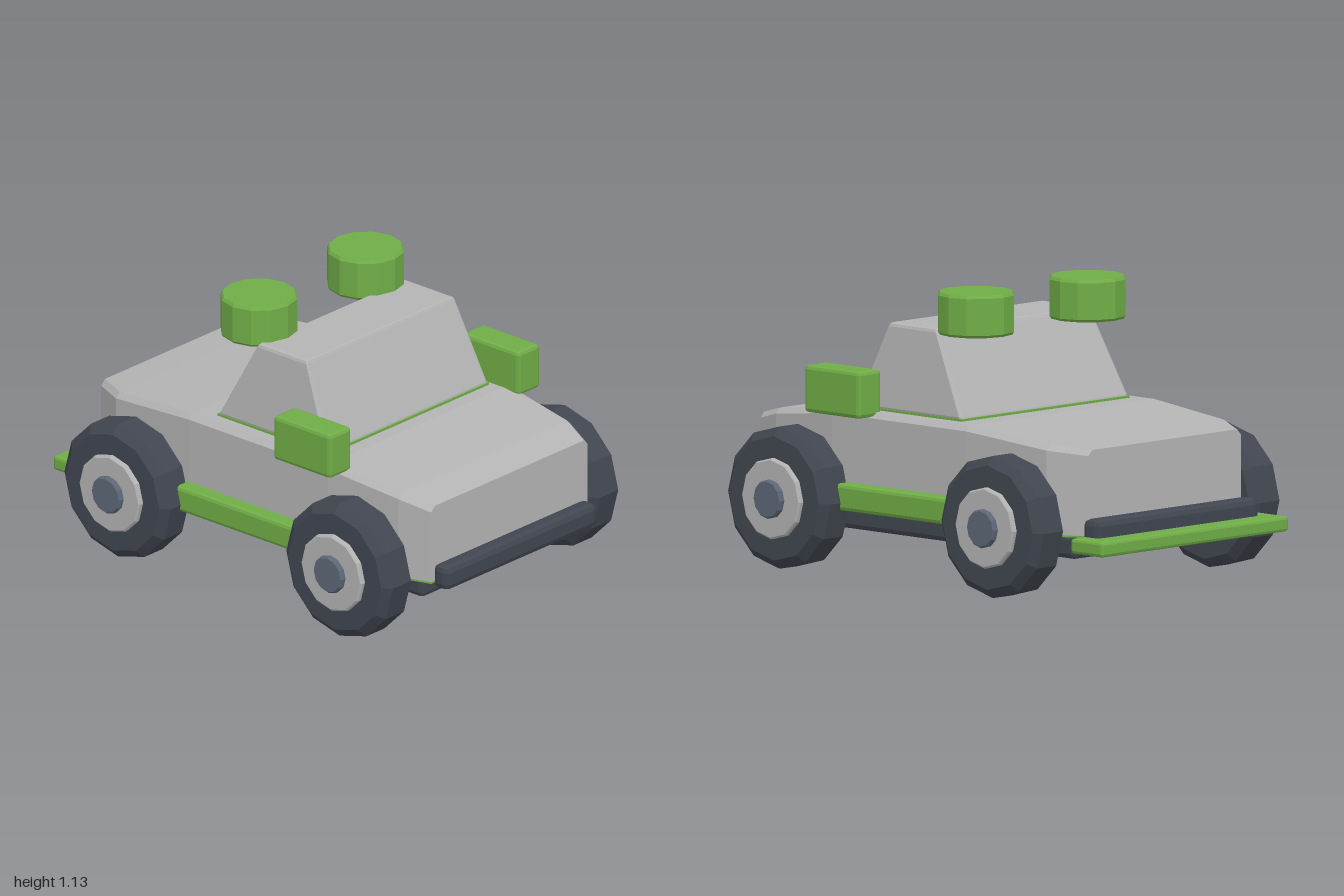
import * as THREE from 'three';
import { RoundedBoxGeometry } from 'three/addons/geometries/RoundedBoxGeometry.js';

const makeMaterial = (name, color) => {
  const m = new THREE.MeshStandardMaterial({ color });
  m.name = name;
  return m;
};

// Facet every face of a geometry
function flat(geometry) {
  const g = geometry.index ? geometry.toNonIndexed() : geometry;
  g.computeVertexNormals();
  return g;
}

// Skin equal-length rings of [x, y, z] points running along +x, capped at both ends
function loft(rings) {
  const n = rings[0].length;
  const index = [];
  for (let i = 0; i < rings.length - 1; i++) {
    for (let j = 0; j < n; j++) {
      const k = (j + 1) % n;
      const a = i * n + j, b = i * n + k, c = b + n, d = a + n;
      index.push(a, d, c, a, c, b);
    }
  }
  const last = (rings.length - 1) * n;
  for (let j = 1; j < n - 1; j++) {
    index.push(0, j, j + 1, last, last + j + 1, last + j);
  }
  const g = new THREE.BufferGeometry();
  g.setAttribute('position', new THREE.Float32BufferAttribute(rings.flat(2), 3));
  g.setIndex(index);
  return flat(g);
}

// Cross-section with chamfered upper edges
const ring = (x, w, bottom, top, c) => [
  [x, bottom, w], [x, top - c, w], [x, top, w - c],
  [x, top, c - w], [x, top - c, -w], [x, bottom, -w],
];

// Chamfered block given by its min and max corners
function block(min, max, bevel) {
  const s = max.map((v, i) => v - min[i]);
  const g = new RoundedBoxGeometry(s[0], s[1], s[2], 1, bevel);
  g.translate(...max.map((v, i) => (v + min[i]) / 2));
  return flat(g);
}

// Twelve-sided turned part from [radius, height] pairs
const turned = (profile) =>
  flat(new THREE.LatheGeometry(profile.map(([r, y]) => new THREE.Vector2(r, y)), 12));

export function createModel() {
  const grey = makeMaterial('body grey', 0xb4b4b4);
  const green = makeMaterial('trim green', 0x70ad47);
  const dark = makeMaterial('rubber dark', 0x414650);
  const slate = makeMaterial('hub slate', 0x5d6777);
  const model = new THREE.Group();
  model.name = 'buggy';
  const add = (name, geometry, material, parent = model) => {
    const mesh = new THREE.Mesh(geometry, material);
    mesh.name = name;
    parent.add(mesh);
    return mesh;
  };

  // Hull: x, half width, deck height
  const stations = [
    [-0.83, 0.425, 0.587], [-0.68, 0.505, 0.602], [-0.27, 0.535, 0.64],
    [0.46, 0.535, 0.64], [0.8, 0.5, 0.6], [0.93, 0.455, 0.567],
  ];
  add('hull', loft(stations.map(([x, w, t]) => ring(x, w, 0.25, t, 0.022))), grey);
  add('hullUnderside', loft(stations.map(([x, w]) => ring(x, w, 0.242, 0.25, 0.001))), green);
  add('chassis', block([-0.76, 0.15, -0.43], [0.86, 0.245, 0.43], 0.02), dark);

  // Tapered cabin
  const cabin = new RoundedBoxGeometry(1, 0.345, 1, 1, 0.015);
  const p = cabin.attributes.position;
  for (let i = 0; i < p.count; i++) {
    const t = p.getY(i) / 0.345 + 0.5;
    const x = THREE.MathUtils.lerp(-0.18 + 0.18 * t, 0.4 - 0.15 * t, p.getX(i) + 0.5);
    p.setXYZ(i, x, 0.64 + 0.345 * t, p.getZ(i) * (0.935 - 0.075 * t));
  }
  add('cabin', flat(cabin), grey);
  const cabinTrim = add('cabinTrim', new THREE.BoxGeometry(0.582, 0.009, 0.936), green);
  cabinTrim.position.set(0.11, 0.6445, 0);

  // Bumpers and the wide plate at the low end
  add('bumper', block([0.92, 0.22, -0.44], [1, 0.32, 0.44], 0.025), dark);
  add('bumper', block([-0.91, 0.22, -0.45], [-0.82, 0.32, 0.45], 0.025), dark);
  add('endPlate', block([-1, 0.19, -0.52], [-0.825, 0.25, 0.52], 0.012), green);

  const tyre = turned([
    [0, 0.52], [0.245, 0.52], [0.28, 0.55], [0.28, 0.655], [0.245, 0.685], [0, 0.685],
  ]);
  const rim = turned([[0.16, 0.66], [0.16, 0.7], [0.153, 0.706], [0, 0.706]]);
  const cap = turned([[0.077, 0.69], [0.077, 0.72], [0.07, 0.728], [0, 0.728]]);
  const drum = turned([
    [0, 0.965], [0.145, 0.965], [0.153, 0.975], [0.153, 1.12], [0.145, 1.132], [0, 1.132],
  ]);

  for (const side of [1, -1]) {
    // Wheels
    for (const x of [-0.535, 0.63]) {
      const wheel = new THREE.Group();
      wheel.name = 'wheel';
      wheel.position.set(x, 0.28, 0);
      wheel.rotation.x = side * Math.PI / 2;
      add('tyre', tyre, dark, wheel);
      add('rim', rim, grey, wheel);
      add('hubCap', cap, slate, wheel);
      model.add(wheel);
    }
    // Side skirt, side box and roof drum
    const span = (a, b) => (side > 0 ? [a, b] : [-b, -a]);
    const [s0, s1] = span(0.5, 0.6);
    add('sideSkirt', block([-0.4, 0.25, s0], [0.5, 0.355, s1], 0.015), green);
    const [b0, b1] = span(0.485, 0.612);
    add('sideBox', block([0.24, 0.622, b0], [0.54, 0.807, b1], 0.015), green);
    add('roofDrum', drum, green).position.set(-0.105, 0, side * 0.31);
  }
  return model;
}
